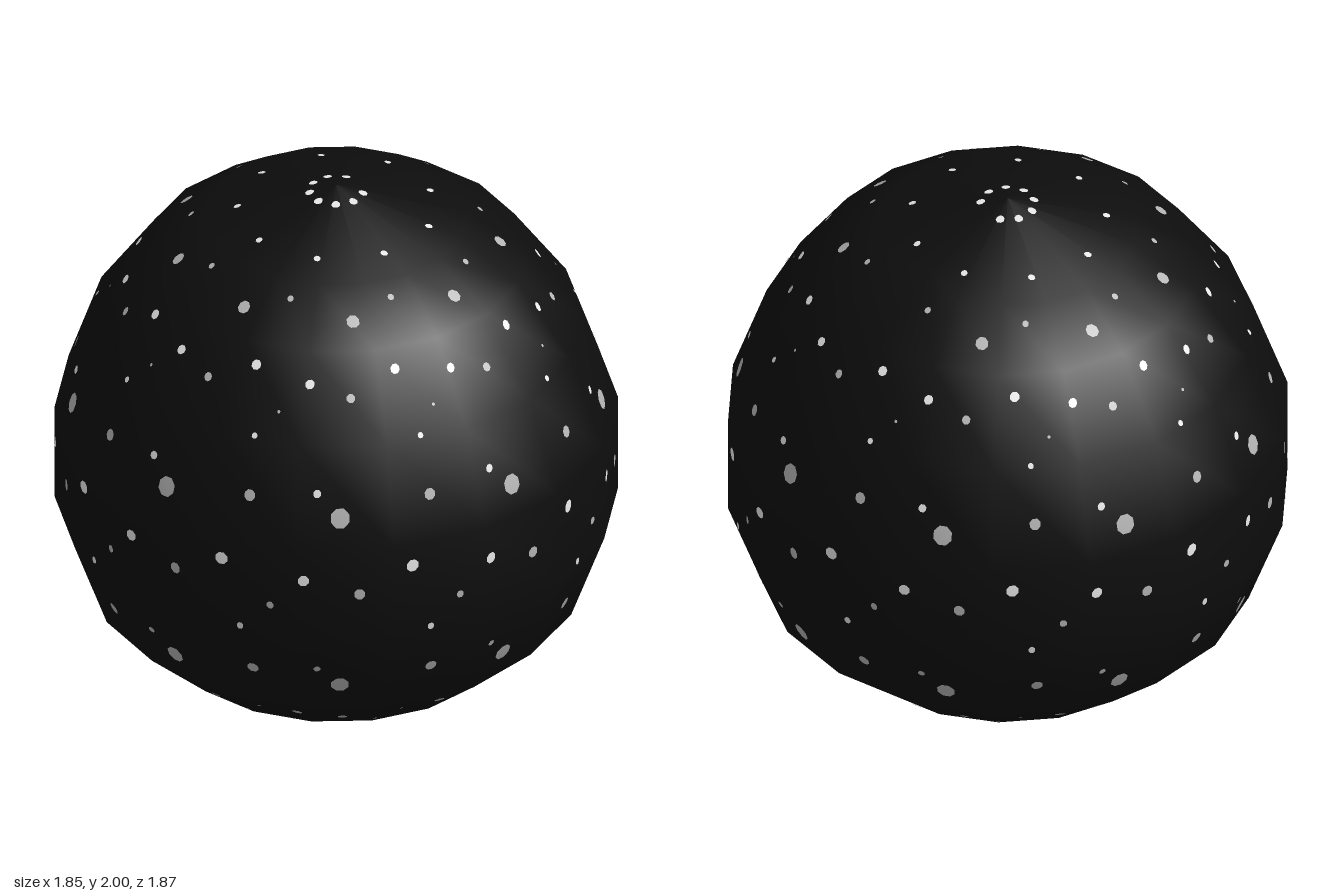
import * as THREE from 'three';
import { mergeGeometries } from 'three/addons/utils/BufferGeometryUtils.js';

const RAD = Math.PI / 180;
// globe outline from bottom pole to top pole: radius, height
const PROFILE = [[0, 0], [0.58, 0.26], [0.82, 0.48], [0.935, 0.8], [0.935, 1.15],
  [0.82, 1.48], [0.635, 1.74], [0.435, 1.88], [0, 2]];

// star rows, each repeated every 40 degrees: height, azimuth, size
const WHITE_ROWS = [
  [1.975, 7, 0.016], [1.909, -3, 0.013], [1.68, -15, 0.018], [1.65, 1, 0.017],
  [1.49, -11.5, 0.011], [1.33, 4, 0.015], [1.07, -16, 0.024], [1.03, 1.5, 0.021],
  [0.82, -12, 0.013],
];
const GREY_ROWS = [
  [1.84, -10, 0.012], [1.8, 14, 0.024], [1.61, 12, 0.016], [1.565, -6.5, 0.006],
  [1.3, -11, 0.021], [1.25, 9, 0.036], [0.975, 13, 0.021], [0.92, -5.5, 0.014],
  [0.655, 4, 0.013], [0.625, -10.5, 0.022], [0.575, 9, 0.034],
  [0.37, -2.5, 0.02], [0.365, -13.5, 0.007], [0.325, 10, 0.018], [0.3, 20, 0.008],
];
// single stars under the globe
const LOW_STARS = [[0.17, 252, 0.018], [0.17, 195, 0.013], [0.03, 227, 0.018]];

// point on the 18-sided globe at a height and azimuth
function surface(y, az) {
  let i = 0;
  while (i < PROFILE.length - 2 && y > PROFILE[i + 1][1]) i++;
  const [r0, y0] = PROFILE[i], [r1, y1] = PROFILE[i + 1];
  const ring = r0 + (r1 - r0) * (y - y0) / (y1 - y0);
  const within = ((az % 20) + 20) % 20 - 10;
  const r = ring * Math.cos(10 * RAD) / Math.cos(within * RAD);
  const len = Math.hypot(r1 - r0, y1 - y0);
  return {
    p: new THREE.Vector3(r * Math.sin(az * RAD), y, r * Math.cos(az * RAD)),
    r, rise: (y1 - y0) / len,
  };
}

// thin eight-sided patch lying on the globe
function star([y, az, size]) {
  const c = surface(y, az);
  const center = new THREE.Vector3(0, 0.98, 0);
  const pos = [], nor = [], index = [];
  const add = (p) => {
    const n = p.clone().sub(center).normalize();
    pos.push(...p.addScaledVector(n, 0.004).toArray());
    nor.push(...n.toArray());
  };
  add(c.p);
  for (let k = 0; k < 8; k++) {
    const t = (k + 0.5) * Math.PI / 4;
    const a = az + Math.cos(t) * size * 0.92 / c.r / RAD;
    add(surface(y + Math.sin(t) * size * c.rise, a).p);
    index.push(0, k + 1, (k + 1) % 8 + 1);
  }
  const g = new THREE.BufferGeometry();
  g.setAttribute('position', new THREE.Float32BufferAttribute(pos, 3));
  g.setAttribute('normal', new THREE.Float32BufferAttribute(nor, 3));
  g.setIndex(index);
  return g;
}

function repeat(rows) {
  const out = [];
  for (const [y, az, size] of rows) {
    for (let k = 0; k < 9; k++) {
      // two gaps at the back of the top cap
      if (k === 4 && (y === 1.8 || y === 1.975)) continue;
      out.push(star([y, az + 40 * k, size]));
    }
  }
  return out;
}

export function createModel() {
  const group = new THREE.Group();
  const mat = (name, color) => {
    const m = new THREE.MeshStandardMaterial({ color });
    m.name = name;
    return m;
  };
  const add = (name, geometry, material) => {
    const mesh = new THREE.Mesh(geometry, material);
    mesh.name = name;
    group.add(mesh);
  };

  // night globe, with the back corners of both caps pulled in
  const globe = new THREE.LatheGeometry(PROFILE.map(([r, y]) => new THREE.Vector2(r, y)), 18);
  const pos = globe.attributes.position;
  const row = 9 * PROFILE.length;
  pos.setXYZ(row + 1, 0, 0.215, -0.51);
  pos.setXYZ(row + 7, 0, 1.9, -0.375);
  add('nightGlobe', globe, mat('night black', 0x0d0d0d));

  add('brightStars', mergeGeometries(repeat(WHITE_ROWS)), mat('star white', 0xf0f0f0));
  add('dimStars', mergeGeometries([...repeat(GREY_ROWS), ...LOW_STARS.map(star)]),
    mat('star grey', 0xb4b4b4));
  return group;
}
